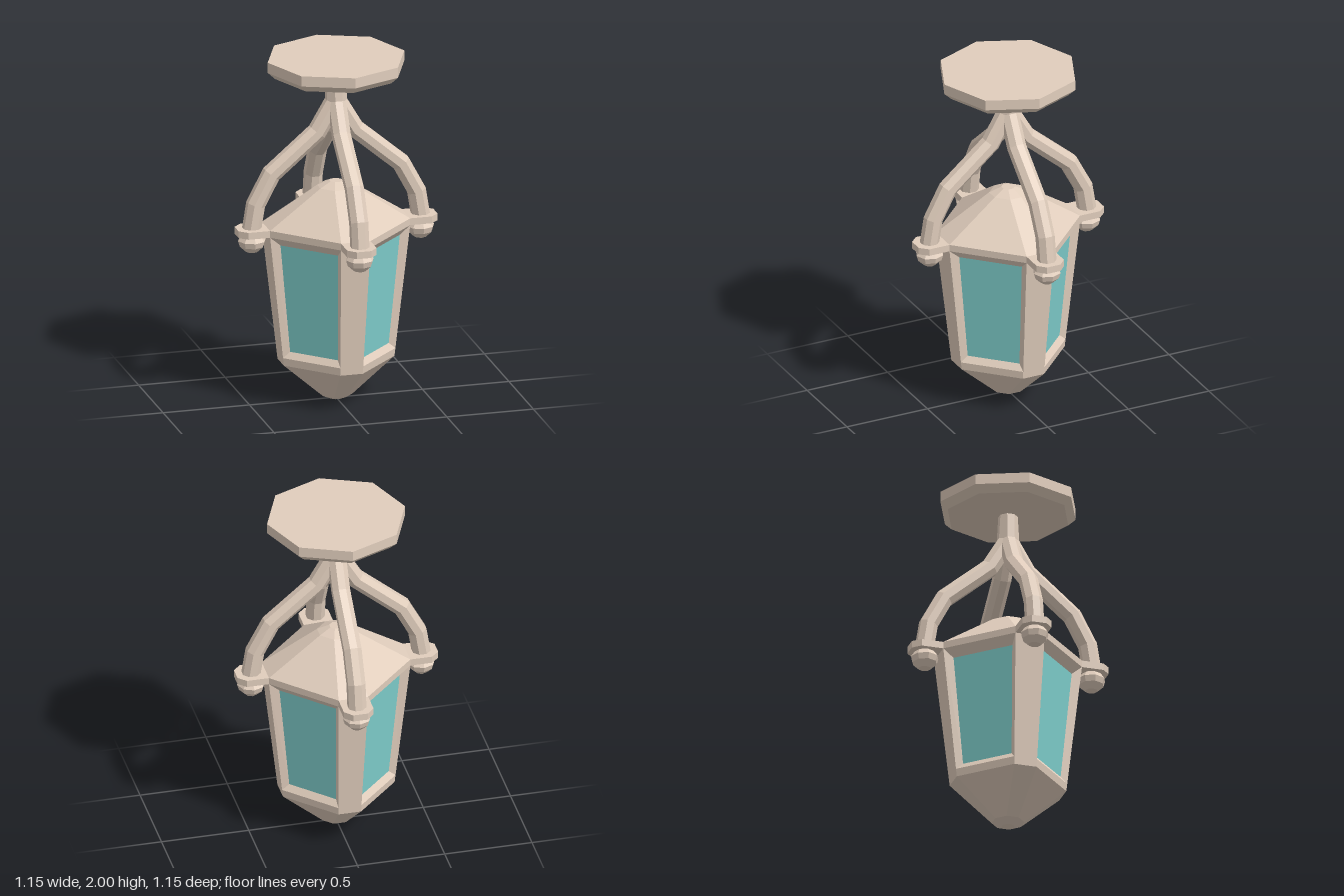
import * as THREE from 'three';

const metal = new THREE.MeshStandardMaterial({ color: 0xe0cdbc, flatShading: true });
const glass = new THREE.MeshStandardMaterial({ color: 0x80d0ce, flatShading: true });

// Flat-faced geometry from polygons, each fanned from its first corner
function faces(polys) {
  const pos = [];
  for (const p of polys)
    for (let i = 1; i < p.length - 1; i++) pos.push(...p[0], ...p[i], ...p[i + 1]);
  const g = new THREE.BufferGeometry();
  g.setAttribute('position', new THREE.Float32BufferAttribute(pos, 3));
  g.computeVertexNormals();
  return g;
}

// Square with cut corners turned to the axes: faces at distance a, half-width b
function ring(a, b, y) {
  const pts = [];
  let p = [[a, -b], [a, b]];
  for (let k = 0; k < 4; k++) {
    for (const [x, z] of p) pts.push([x, y, z]);
    p = p.map(([x, z]) => [-z, x]);
  }
  return pts;
}

// Side face between a lower and an upper ring
const side = (lo, up, i) => {
  const j = (i + 1) % lo.length;
  return [lo[i], up[i], up[j], lo[j]];
};

// Closed solid through rings stacked from bottom to top
function loft(rings) {
  const polys = [rings[0], [...rings[rings.length - 1]].reverse()];
  for (let r = 0; r < rings.length - 1; r++)
    for (let i = 0; i < rings[r].length; i++) polys.push(side(rings[r], rings[r + 1], i));
  return faces(polys);
}

// Octagonal pipe with mitred bends along a path in the xy plane
function pipe(path, radius) {
  const pts = path.map(([x, y]) => new THREE.Vector2(x, y));
  const dir = (i) => pts[i + 1].clone().sub(pts[i]).normalize();
  const rings = pts.map((c, i) => {
    const d0 = dir(Math.max(i - 1, 0));
    const d1 = dir(Math.min(i, pts.length - 2));
    const t = d0.clone().add(d1).normalize();
    const stretch = 1 / t.dot(d0);
    return Array.from({ length: 8 }, (_, k) => {
      const a = ((k + 0.5) * Math.PI) / 4;
      const u = radius * Math.cos(a) * stretch;
      return [c.x + t.y * u, c.y - t.x * u, radius * Math.sin(a)];
    });
  });
  return loft(rings);
}

export function createModel() {
  const model = new THREE.Group();
  const add = (name, geometry, material = metal, parent = model) => {
    const mesh = new THREE.Mesh(geometry, material);
    mesh.name = name;
    parent.add(mesh);
    return mesh;
  };

  // Ceiling plate with chamfered underside
  const plate = [[0, 1.9], [0.352, 1.9], [0.395, 1.94], [0.395, 2], [0, 2]];
  add('ceilingPlate', new THREE.LatheGeometry(plate.map(([r, y]) => new THREE.Vector2(r, y)), 8));

  // Lantern cage: corner posts and bevelled openings round the panes
  const foot = ring(0.32, 0.065, 0.235);
  const sill = ring(0.325, 0.066, 0.28);
  const head = ring(0.405, 0.085, 1.0);
  const paneLow = ring(0.285, 0.07, 0.315);
  const paneTop = ring(0.345, 0.085, 0.95);
  const cage = [];
  const panes = [];
  for (let i = 0; i < 8; i++) {
    const j = (i + 1) % 8;
    if (i % 2 === 0) {
      cage.push(side(foot, head, i));
      continue;
    }
    cage.push(
      side(foot, sill, i),
      side(sill, paneLow, i),
      side(paneTop, head, i),
      [sill[i], head[i], paneTop[i], paneLow[i]],
      [paneLow[j], paneTop[j], head[j], sill[j]],
    );
    panes.push(side(paneLow, paneTop, i));
  }
  add('cage', faces(cage));
  add('glassPanes', faces(panes), glass);

  // Tapered bottom and hipped roof
  add('base', loft([ring(0.035, 0.015, 0), ring(0.085, 0.035, 0.025), foot]));
  add('roof', loft([
    ring(0.405, 0.085, 1.04), ring(0.1, 0.035, 1.245), ring(0.035, 0.015, 1.275),
  ]));

  // Rim slab with a chamfered tab on each side
  const rim = [];
  const tab = [[0.405, -0.085], [0.53, -0.085], [0.575, -0.042],
    [0.575, 0.042], [0.53, 0.085], [0.405, 0.085]];
  for (let k = 0; k < 4; k++) {
    const turn = new THREE.Vector2();
    for (const [x, y] of tab)
      rim.push(new THREE.Vector2(x, y).rotateAround(turn, (k * Math.PI) / 2));
  }
  const rimGeometry = new THREE.ExtrudeGeometry(new THREE.Shape(rim), { depth: 0.04, bevelEnabled: false });
  add('rim', rimGeometry.rotateX(-Math.PI / 2).translate(0, 1.0, 0));

  // Four curved arms, each ending in a knob under its tab
  const armGeometry = pipe([
    [0.49, 1.02], [0.465, 1.175], [0.375, 1.345], [0.11, 1.57], [0.01, 1.74], [0, 1.91],
  ], 0.054);
  const knobProfile = [[0, 0.893], [0.035, 0.902], [0.07, 0.935], [0.08, 0.968], [0.055, 1.002]];
  const knobGeometry = new THREE.LatheGeometry(
    knobProfile.map(([r, y]) => new THREE.Vector2(r, y)), 8);
  for (let k = 0; k < 4; k++) {
    const arm = new THREE.Group();
    arm.name = 'hangingArm';
    add('armPipe', armGeometry, metal, arm);
    add('knob', knobGeometry, metal, arm).position.x = 0.487;
    arm.rotation.y = (k * Math.PI) / 2;
    model.add(arm);
  }
  return model;
}
